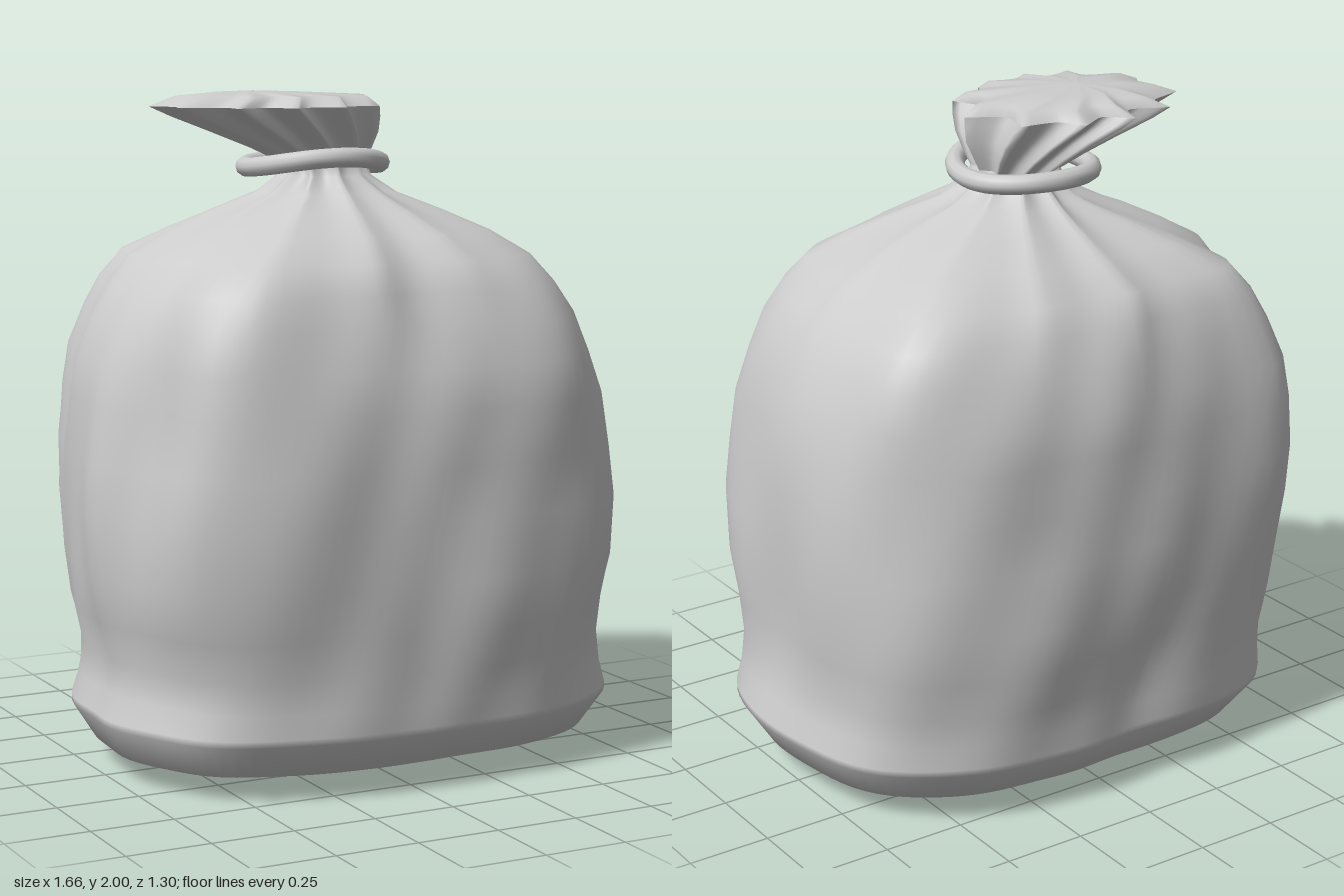
import * as THREE from 'three';

const PLEATS = 11, SEG = PLEATS * 10;
const material = new THREE.MeshStandardMaterial({ color: 0xcccccc, side: THREE.DoubleSide });

// Rings: [y, left x, right x, half depth, squareness, pleat depth, lump amount]
const body = [
  [0.005, -0.001, 0.001, 0.001, 2, 0, 0],
  [0.03, -0.56, 0.56, 0.38, 2.5, 0, 0.2],
  [0.08, -0.73, 0.75, 0.53, 3, 0, 0.5],
  [0.18, -0.79, 0.81, 0.595, 3.1, 0, 0.7],
  [0.2, -0.79, 0.81, 0.598, 3.1, 0, 0.7],
  [0.27, -0.765, 0.785, 0.6, 3.2, 0, 0.85],
  [0.36, -0.75, 0.77, 0.605, 3.3, 0, 0.95],
  [0.48, -0.78, 0.775, 0.62, 3.3, 0, 1],
  [0.62, -0.8, 0.785, 0.635, 3.3, 0, 1],
  [0.8, -0.815, 0.78, 0.635, 3.3, 0, 1],
  [0.95, -0.805, 0.775, 0.63, 3.3, 0, 1],
  [1.11, -0.78, 0.77, 0.625, 3.3, 0, 1],
  [1.23, -0.76, 0.74, 0.605, 3.4, 0, 1],
  [1.35, -0.72, 0.7, 0.57, 3.5, 0.01, 1],
  [1.44, -0.675, 0.635, 0.535, 3.5, 0.02, 1],
  [1.52, -0.615, 0.56, 0.495, 3.3, 0.04, 1],
  [1.59, -0.49, 0.45, 0.395, 3, 0.07, 0.7],
  [1.65, -0.365, 0.32, 0.295, 2.5, 0.1, 0.4],
  [1.7, -0.235, 0.185, 0.215, 2.1, 0.14, 0],
  [1.75, -0.17, 0.11, 0.15, 2, 0.18, 0],
  [1.79, -0.165, 0.09, 0.145, 2, 0.18, 0],
];
const tuft = [
  body[body.length - 1],
  [1.83, -0.25, 0.11, 0.18, 2, 0.18, 0],
  [1.88, -0.38, 0.135, 0.225, 2, 0.2, 0],
  [1.925, -0.5, 0.14, 0.27, 2, 0.22, 0],
  [1.955, -0.57, 0.14, 0.29, 2, 0.23, 0],
];
const gather = [
  tuft[4],
  [1.985, -0.49, 0.105, 0.235, 2, 0.18, 0],
  [1.995, -0.38, -0.1, 0.13, 2, 0.14, 0],
  [2.0, -0.261, -0.259, 0.001, 2, 0, 0],
];

// Folds up the sides and bulges at the corners: [angle, y, push, angle width, height]
const folds = [
  [2.74, 0.9, -0.045, 0.16, 1.2], [3.02, 0.8, 0.025, 0.12, 0.8],
  [3.58, 0.9, -0.05, 0.2, 1.2], [3.89, 1.4, 0.055, 0.15, 0.6],
  [2.5, 0.22, -0.045, 0.3, 0.25], [2.5, 1.4, 0.025, 0.25, 0.2],
  [5.68, 0.2, -0.035, 0.3, 0.25], [5.68, 0.72, 0.02, 0.25, 0.22],
  [5.68, 1.08, -0.015, 0.25, 0.15], [5.68, 1.42, 0.03, 0.25, 0.15],
  [0.6, 0.8, 0.02, 0.3, 0.25], [0.6, 1.35, -0.025, 0.3, 0.2],
];

// Folds plus soft dents of the filled bag
function lump(a, y) {
  let d = 0.008 * Math.sin(5 * a + 2.2 * y + 0.4) + 0.006 * Math.sin(8 * a - 5 * y + 1)
    + 0.006 * Math.sin(3 * a + 9 * y) + 0.004 * Math.sin(13 * a + 7 * y);
  for (const [at, h, push, w, tall] of folds)
    d += push * Math.exp(-(((a - at) / w) ** 2) - ((y - h) / tall) ** 2);
  return d;
}

// Smooth skin through a stack of rings, bottom to top
function skin(name, rings) {
  const pos = [], idx = [];
  for (const [y, x0, x1, rz, n, pleat, bump] of rings) {
    const rx = (x1 - x0) / 2, cx = (x0 + x1) / 2;
    for (let i = 0; i < SEG; i++) {
      const a = i / SEG * Math.PI * 2, c = Math.cos(a), s = Math.sin(a);
      const r = (Math.abs(c / rx) ** n + Math.abs(s / rz) ** n) ** (-1 / n);
      const fold = 1 - pleat * Math.abs(Math.sin(PLEATS * a / 2)) * (1 + 0.25 * Math.sin(3 * a + 1));
      const d = r * fold + bump * lump(a, y);
      pos.push(cx + c * d, y, s * d);
    }
  }
  for (let j = 0; j < rings.length - 1; j++) {
    for (let i = 0; i < SEG; i++) {
      const k = (i + 1) % SEG, a = j * SEG + i, b = j * SEG + k;
      idx.push(a, a + SEG, b, b, a + SEG, b + SEG);
    }
  }
  const g = new THREE.BufferGeometry();
  g.setAttribute('position', new THREE.Float32BufferAttribute(pos, 3));
  g.setIndex(idx);
  g.computeVertexNormals();
  const mesh = new THREE.Mesh(g, material);
  mesh.name = name;
  return mesh;
}

// Loose, slightly wavy tie around the neck
function makeTie() {
  const pts = [];
  for (let i = 0; i < 16; i++) {
    const a = i / 16 * Math.PI * 2;
    pts.push(new THREE.Vector3(
      -0.065 + 0.2 * Math.cos(a),
      1.787 + 0.012 * Math.sin(a) - 0.01 * Math.cos(2 * a),
      0.2 * Math.sin(a)));
  }
  const path = new THREE.CatmullRomCurve3(pts, true);
  const mesh = new THREE.Mesh(new THREE.TubeGeometry(path, 64, 0.029, 10, true), material);
  mesh.name = 'tie';
  return mesh;
}

export function createModel() {
  const model = new THREE.Group();
  model.name = 'tiedBag';
  model.add(
    skin('bagBody', body),
    skin('tuft', tuft),
    skin('tuftTop', gather),
    makeTie());
  return model;
}
